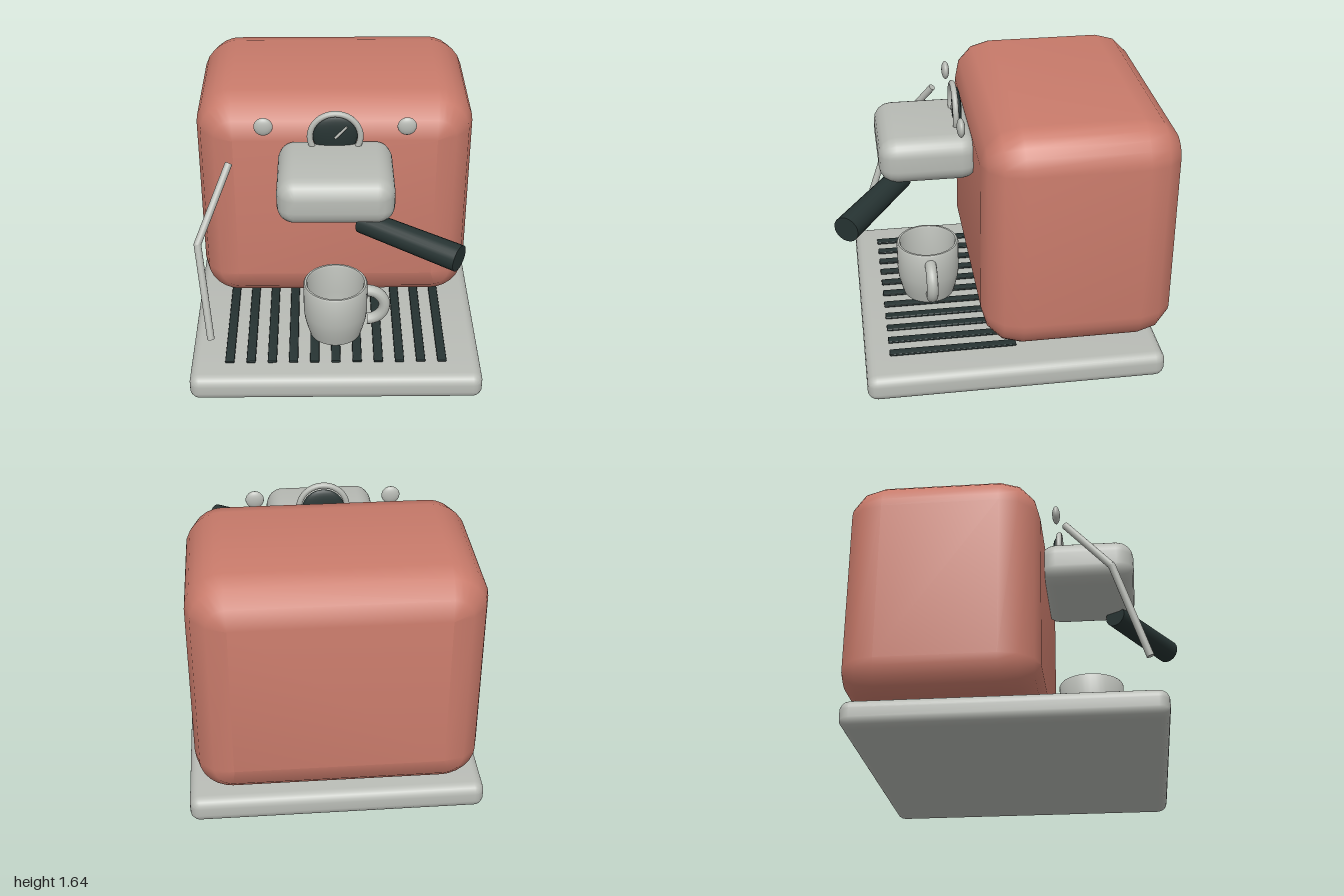
import * as THREE from 'three';
import { toCreasedNormals } from 'three/addons/utils/BufferGeometryUtils.js';

const material = (name, color) => {
  const m = new THREE.MeshStandardMaterial({ color });
  m.name = name;
  return m;
};

// Box between two corners with rounded edges of radius r
function softBox(min, max, r, segments) {
  const [w, h, d] = min.map((v, i) => max[i] - v);
  const e = 0.002, x = w / 2 - r, y = h / 2 - r;
  const shape = new THREE.Shape();
  shape.absarc(x, y, e, 0, Math.PI / 2);
  shape.absarc(-x, y, e, Math.PI / 2, Math.PI);
  shape.absarc(-x, -y, e, Math.PI, Math.PI * 1.5);
  shape.absarc(x, -y, e, Math.PI * 1.5, Math.PI * 2);
  const g = new THREE.ExtrudeGeometry(shape, {
    depth: d - 2 * r, curveSegments: segments, bevelSegments: segments,
    bevelSize: r - e, bevelThickness: r,
  });
  g.center();
  g.translate(...min.map((v, i) => (v + max[i]) / 2));
  return toCreasedNormals(g, 0.75);
}

// Round rod from point a to point b
function rod(a, b, ra, rb = ra, sides = 16) {
  const from = new THREE.Vector3(...a), to = new THREE.Vector3(...b);
  const dir = to.clone().sub(from);
  const g = new THREE.CylinderGeometry(rb, ra, dir.length(), sides);
  g.applyQuaternion(new THREE.Quaternion().setFromUnitVectors(
    new THREE.Vector3(0, 1, 0), dir.normalize()));
  const mid = from.add(to).multiplyScalar(0.5);
  return g.translate(mid.x, mid.y, mid.z);
}

const disc = (x, y, z, r, depth) =>
  new THREE.SphereGeometry(r, 24, 16).scale(1, 1, depth / r).translate(x, y, z);

export function createModel() {
  const model = new THREE.Group();
  model.name = 'espressoMachine';
  const red = material('terracotta', 0xc97b6b);
  const silver = material('silver', 0xb8bbb5);
  const dark = material('darkGreen', 0x263332);
  const add = (name, geometry, mat, parent = model) => {
    const mesh = new THREE.Mesh(geometry, mat);
    mesh.name = name;
    parent.add(mesh);
    return mesh;
  };
  const group = (name) => {
    const g = new THREE.Group();
    g.name = name;
    model.add(g);
    return g;
  };

  // Housing, base tray and brew head
  add('housing', softBox([-0.838, 0.212, -1], [0.838, 1.632, 0.16], 0.23, 3), red);
  add('baseTray', softBox([-0.885, 0, -0.935], [0.885, 0.164, 0.867], 0.06, 4), silver);
  add('brewHead', softBox([-0.337, 1.137, 0.12], [0.337, 1.42, 0.71], 0.105, 4), silver);

  // Drip grille slats
  const grille = group('dripGrille');
  for (let i = -5; i <= 5; i++) {
    const x = i * 0.129;
    add('slat', softBox([x - 0.028, 0.174, -0.05], [x + 0.028, 0.19, 0.72], 0.007, 2), dark, grille);
  }

  // Pressure gauge
  const gauge = group('pressureGauge');
  add('gaugeRing', new THREE.TorusGeometry(0.148, 0.018, 12, 40).translate(0, 1.477, 0.24), silver, gauge);
  add('gaugeDial', disc(0, 1.475, 0.22, 0.132, 0.028), dark, gauge);
  add('gaugeNeedle', rod([0, 1.47, 0.25], [0.068, 1.545, 0.25], 0.008, 0.008, 8), silver, gauge);

  // Round buttons
  for (const side of [-1, 1]) add('button', disc(side * 0.418, 1.545, 0.242, 0.056, 0.024), silver);

  // Filter handle
  add('filterHandle', rod([0.15, 1.112, 0.58], [0.677, 1.085, 0.925], 0.07, 0.077, 20), dark);

  // Steam wand with a bent knee
  const wand = group('steamWand');
  const top = [-0.622, 1.342, 0.31], knee = [-0.805, 0.955, 0.58], tip = [-0.742, 0.408, 0.775];
  add('upperTube', rod(top, knee, 0.022), silver, wand);
  add('lowerTube', rod(knee, tip, 0.022), silver, wand);
  add('kneeJoint', new THREE.SphereGeometry(0.022, 16, 10).translate(...knee), silver, wand);

  // Hollow cup with side handle
  const cup = group('cup');
  const profile = [
    [0, 0.195], [0.16, 0.195], [0.176, 0.25], [0.19, 0.31], [0.196, 0.36], [0.197, 0.552],
    [0.19, 0.562], [0.178, 0.562], [0.172, 0.55], [0.17, 0.36], [0.145, 0.24], [0, 0.235],
  ].map((p) => new THREE.Vector2(...p));
  const bowl = toCreasedNormals(new THREE.LatheGeometry(profile, 40), 0.7);
  add('cupBowl', bowl.translate(0, 0, 0.42), silver, cup);
  const handle = new THREE.TorusGeometry(0.108, 0.036, 12, 24, Math.PI);
  add('cupHandle', handle.rotateZ(-Math.PI / 2).translate(0.195, 0.388, 0.42), silver, cup);

  return model;
}
